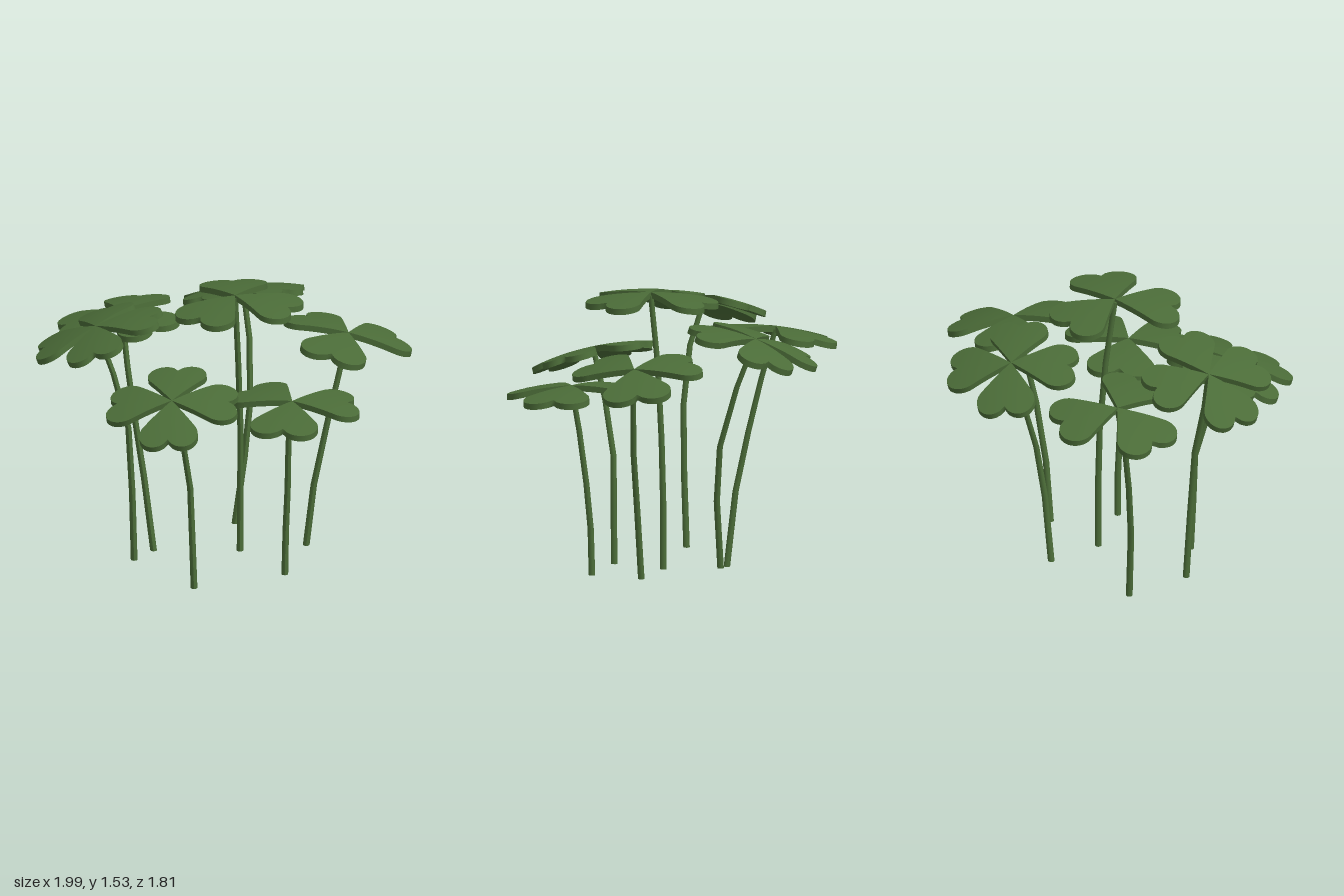
import * as THREE from 'three';

const LEAF_SIZE = 0.365, THICKNESS = 0.032;

// Each plant: leaf directions in degrees (0 = +x, 90 = -z), slope of the head in x and z,
// and stem points from the ground to the centre of the head.
const PLANTS = [
  { leaves: [45, 135, 225, 315], slope: [0.1, 0.3],
    stem: [[0.04, 0.08, -0.37], [0.09, 0.45, -0.375], [0.12, 0.75, -0.41], [0.115, 1.08, -0.51], [0.08, 1.33, -0.6]] },
  { leaves: [73, 183, 303], slope: [0.16, 0.04],
    stem: [[-0.39, 0, -0.17], [-0.44, 0.4, -0.195], [-0.49, 0.72, -0.245], [-0.53, 1.0, -0.3], [-0.56, 1.27, -0.37]] },
  { leaves: [80, 176, 352, 266], slope: [0.36, 0],
    stem: [[-0.49, 0.06, 0.13], [-0.5, 0.45, 0.15], [-0.52, 0.82, 0.165], [-0.6, 1.13, 0.17], [-0.69, 1.37, 0.13]] },
  { leaves: [31, 137, 254], slope: [-0.22, 0],
    stem: [[0.42, 0.06, -0.1], [0.46, 0.4, -0.1], [0.53, 0.74, -0.115], [0.59, 1.0, -0.145], [0.64, 1.22, -0.18]] },
  { leaves: [93, 232, 338], slope: [0.03, 0],
    stem: [[0.07, 0.05, -0.04], [0.072, 0.4, -0.04], [0.072, 0.75, -0.03], [0.06, 1.15, 0], [0.045, 1.515, 0.05]] },
  { leaves: [84, 170, 358, 265], slope: [0.1, -0.3],
    stem: [[-0.17, 0, 0.39], [-0.18, 0.3, 0.4], [-0.19, 0.57, 0.405], [-0.23, 0.87, 0.48], [-0.285, 1.12, 0.58]] },
  { leaves: [10, 135, 261], slope: [0, -0.06],
    stem: [[0.31, 0.03, 0.26], [0.315, 0.28, 0.265], [0.325, 0.52, 0.285], [0.33, 0.8, 0.325], [0.35, 1.035, 0.36]] },
];

// Moves every vertex of a geometry by a rule
function reshape(geometry, rule) {
  const pos = geometry.attributes.position, v = new THREE.Vector3();
  for (let i = 0; i < pos.count; i++) {
    rule(v.fromBufferAttribute(pos, i));
    pos.setXYZ(i, v.x, v.y, v.z);
  }
  geometry.computeVertexNormals();
  return geometry;
}

// Heart-shaped leaf: a flat box fanned out from its point, with two round lobes and a drooping end.
// It points along +z.
function leafGeometry(width) {
  const along = 0.7, across = 0.22, radius = 0.25;
  const d = Math.hypot(along, across), lobeAngle = Math.atan2(across, along);
  const maxAngle = lobeAngle + Math.asin(radius / d);
  return reshape(new THREE.BoxGeometry(1, 1, 1, 28, 1, 6), (v) => {
    const angle = maxAngle * Math.sin(v.x * Math.PI);
    const phi = Math.abs(angle) - lobeAngle;
    const edge = d * Math.cos(phi) + Math.sqrt(Math.max(0, radius ** 2 - (d * Math.sin(phi)) ** 2));
    const r = edge * (v.z + 0.5);
    v.set(Math.sin(angle) * r * width * LEAF_SIZE,
      v.y * THICKNESS - 0.045 * r * r,
      Math.cos(angle) * r * LEAF_SIZE);
  });
}

// Thin stem: a capped cylinder bent along a curve
function stemGeometry(points) {
  const curve = new THREE.CatmullRomCurve3(points.map((p) => new THREE.Vector3(...p)));
  return reshape(new THREE.CylinderGeometry(0.015, 0.018, 1, 8, 4), (v) => {
    const p = curve.getPoint(THREE.MathUtils.clamp(v.y + 0.5, 0, 1));
    v.set(p.x + v.x, p.y, p.z + v.z);
  });
}

export function createModel() {
  const model = new THREE.Group();
  model.name = 'cloverPatch';
  const green = new THREE.MeshStandardMaterial({ color: 0x4b6c38 });
  green.name = 'cloverGreen';

  const wideLeaf = leafGeometry(1.05), narrowLeaf = leafGeometry(0.91);
  const up = new THREE.Vector3(0, 1, 0);

  for (const { leaves, slope, stem } of PLANTS) {
    const plant = new THREE.Group();
    plant.name = 'clover';

    const stalk = new THREE.Mesh(stemGeometry(stem), green);
    stalk.name = 'stem';
    plant.add(stalk);

    // Tilted head of three or four leaves
    const head = new THREE.Group();
    head.name = 'leafHead';
    head.position.set(...stem[stem.length - 1]);
    head.quaternion.setFromUnitVectors(up, new THREE.Vector3(-slope[0], 1, -slope[1]).normalize());
    for (const degrees of leaves) {
      const leaf = new THREE.Mesh(leaves.length === 3 ? wideLeaf : narrowLeaf, green);
      leaf.name = 'leaf';
      leaf.rotation.y = THREE.MathUtils.degToRad(degrees + 90);
      head.add(leaf);
    }
    plant.add(head);
    model.add(plant);
  }
  return model;
}
